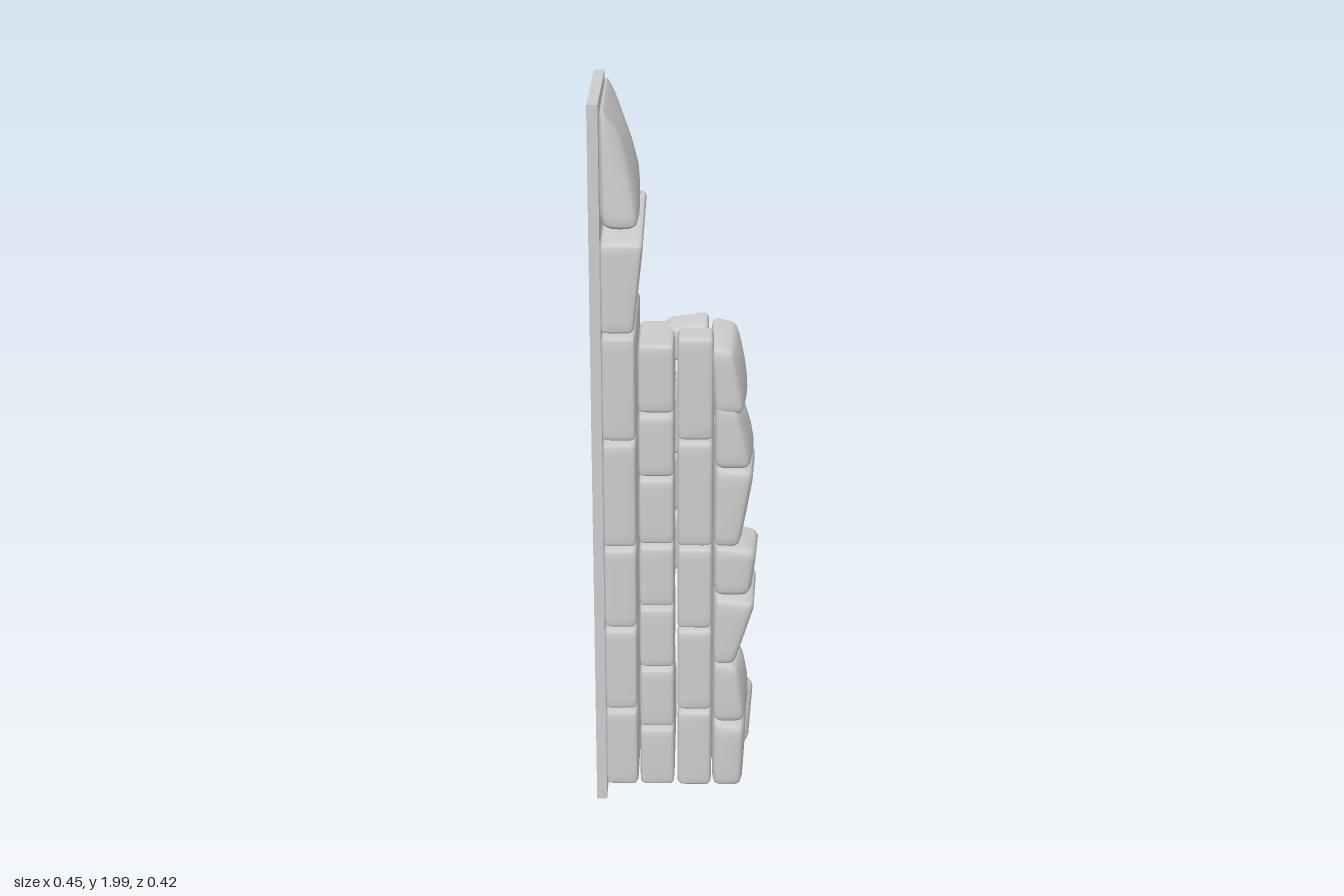
import * as THREE from 'three';
import { mergeVertices } from 'three/addons/utils/BufferGeometryUtils.js';

const material = new THREE.MeshStandardMaterial({ color: 0xcccccc });

// Share of each corner/edge/side letter at a point of the unit block
const share = {
  R: (p) => (1 + p.x) / 2, L: (p) => (1 - p.x) / 2,
  T: (p) => (1 + p.y) / 2, B: (p) => (1 - p.y) / 2,
  F: (p) => (1 + p.z) / 2, K: (p) => (1 - p.z) / 2,
  O: (p) => (1 - p.y * p.y) * (1 - p.z * p.z), // bulge in the middle of a side
};

// Worn block: rounded box whose sides, edges or corners are pulled,
// e.g. { RT: [dx, dy, dz] } moves the right top edge (K = back).
function stone(group, name, [x0, x1], [y0, y1], [z0, z1], pulls = {}, radius = 0.016) {
  let geometry = new THREE.BoxGeometry(2, 2, 2, 10, 10, 10);
  geometry.deleteAttribute('uv');
  geometry.deleteAttribute('normal');
  geometry = mergeVertices(geometry);
  const half = new THREE.Vector3(x1 - x0, y1 - y0, z1 - z0).multiplyScalar(0.5);
  const centre = new THREE.Vector3(x0 + x1, y0 + y1, z0 + z1).multiplyScalar(0.5);
  const inner = half.clone().subScalar(radius);
  const pos = geometry.attributes.position;
  const p = new THREE.Vector3(), q = new THREE.Vector3(), core = new THREE.Vector3();
  const crowd = (t) => Math.sign(t) * (1 - (1 - Math.abs(t)) ** 2.6);
  for (let i = 0; i < pos.count; i++) {
    p.fromBufferAttribute(pos, i);
    q.set(crowd(p.x), crowd(p.y), crowd(p.z)).multiply(half);
    core.copy(q).clamp(inner.clone().negate(), inner);
    q.sub(core).setLength(radius).add(core);
    p.copy(q).divide(half);
    q.add(centre);
    for (const [key, d] of Object.entries(pulls)) {
      const w = [...key].reduce((s, c) => s * share[c](p), 1);
      q.x += d[0] * w; q.y += d[1] * w; q.z += d[2] * w;
    }
    pos.setXYZ(i, q.x, q.y, q.z);
  }
  geometry.computeVertexNormals();
  const mesh = new THREE.Mesh(geometry, material);
  mesh.name = name;
  group.add(mesh);
}

// Regular column of stones between the joint heights
function course(group, name, x, joints, z) {
  for (let i = 0; i < joints.length - 1; i++) {
    stone(group, name, x, [joints[i] + 0.004, joints[i + 1] - 0.004], z);
  }
}

export function createModel() {
  const group = new THREE.Group();
  group.name = 'ruinedWallEnd';

  // Flat backing board
  const board = new THREE.Mesh(new THREE.BoxGeometry(0.028, 1.985, 0.395), material);
  board.name = 'backingBoard';
  board.position.set(-0.214, 0.9925, -0.01);
  group.add(board);

  // Full-depth column against the board
  course(group, 'boardStone', [-0.2, -0.11], [0.055, 0.295, 0.545, 0.785, 1.09, 1.385], [-0.2, 0.212]);
  stone(group, 'upperStone', [-0.2, -0.1], [1.39, 1.64], [-0.2, 0.21],
    { RB: [-0.015, 0, 0], RT: [0.012, 0, 0], TF: [0, -0.01, 0], TK: [0, 0.025, 0] });
  stone(group, 'capStone', [-0.2, -0.115], [1.655, 1.99], [-0.21, 0.215], {
    RT: [-0.02, -0.06, 0], RB: [0.02, 0, 0], RK: [-0.03, 0, 0.01], O: [0, 0, 0], RO: [0.025, 0, 0],
    LT: [0, 0.008, 0], TF: [0, -0.01, -0.02], TK: [0, -0.01, 0], BF: [0, 0.01, 0], BK: [0, 0.02, 0.02],
    RTF: [0, -0.03, -0.03],
  }, 0.035);

  // Narrow inner columns on the front
  course(group, 'frontStone', [-0.105, -0.01], [0.055, 0.24, 0.425, 0.61, 0.795, 0.99, 1.17, 1.365], [0, 0.212]);
  course(group, 'frontStone', [-0.002, 0.092], [0.055, 0.295, 0.545, 0.79, 1.095, 1.385], [0.11, 0.214]);
  course(group, 'coreStone', [0, 0.095], [0.055, 0.295, 0.545, 0.79, 1.09, 1.3], [-0.005, 0.095]);

  // Rough, bulging quoins on the open end: [y0, y1, xBottom, xTop, bulge, tilt]
  const quoins = [
    [0.055, 0.265, 0.188, 0.195, 0.0, -0.01],
    [0.258, 0.435, 0.195, 0.175, 0.012, 0.012],
    [0.437, 0.645, 0.165, 0.222, 0.0, -0.008],
    [0.645, 0.785, 0.205, 0.222, 0.0, 0.01],
    [0.79, 1.02, 0.175, 0.212, 0.0, 0.0],
    [1.015, 1.19, 0.205, 0.168, 0.012, 0.012],
    [1.17, 1.365, 0.185, 0.155, 0.012, -0.008],
  ];
  quoins.forEach(([y0, y1, xb, xt, bulge, tilt], i) => {
    stone(group, 'quoin', [0.095, 0.18], [y0, y1], [-0.01, 0.213], {
      RB: [xb - 0.18, 0, 0], RT: [xt - 0.18, -0.015, 0], RO: [bulge, 0, 0],
      TF: [0, tilt, 0], TK: [0, -tilt, 0], RF: [-0.012, 0, 0], RTK: [0, 0, i % 2 ? 0.015 : -0.005],
      LT: [i === 6 ? -0.01 : 0, 0, 0],
    }, 0.024);
  });

  // Foot of the rear side
  course(group, 'rearFootStone', [-0.105, -0.01], [0.055, 0.25], [-0.2, -0.008]);
  course(group, 'rearFootStone', [-0.002, 0.092], [0.055, 0.29], [-0.195, -0.013]);
  stone(group, 'rearFootBoulder', [0.075, 0.2], [0.058, 0.3], [-0.195, -0.015], {
    RK: [-0.012, 0, 0.01], LT: [-0.02, 0, 0], RTF: [0.02, -0.03, 0], TK: [0, -0.04, 0.012], RTK: [-0.03, -0.01, 0],
  }, 0.028);

  // Broken stones projecting from the rear side
  stone(group, 'rearStone', [-0.105, 0.02], [0.615, 0.785], [-0.2, -0.015], { RK: [-0.01, 0, 0] });
  stone(group, 'rearStone', [-0.105, 0.0], [0.795, 0.965], [-0.2, -0.015]);
  stone(group, 'rearStone', [-0.105, 0.025], [0.965, 1.16], [-0.2, -0.015],
    { TF: [0, 0.04, 0], TK: [0, -0.02, 0], RK: [-0.015, 0, 0], RB: [0.01, 0, 0] });
  stone(group, 'rearSliver', [0.03, 0.135], [0.79, 1.08], [-0.092, -0.012],
    { RB: [-0.02, 0, 0], RT: [0.005, -0.01, 0] });

  // Loose rubble on top
  stone(group, 'looseStone', [-0.035, 0.075], [1.27, 1.365], [-0.015, 0.08],
    { RT: [0.005, 0.02, 0], LK: [0, 0, -0.008], TF: [0, -0.01, 0] });
  return group;
}
